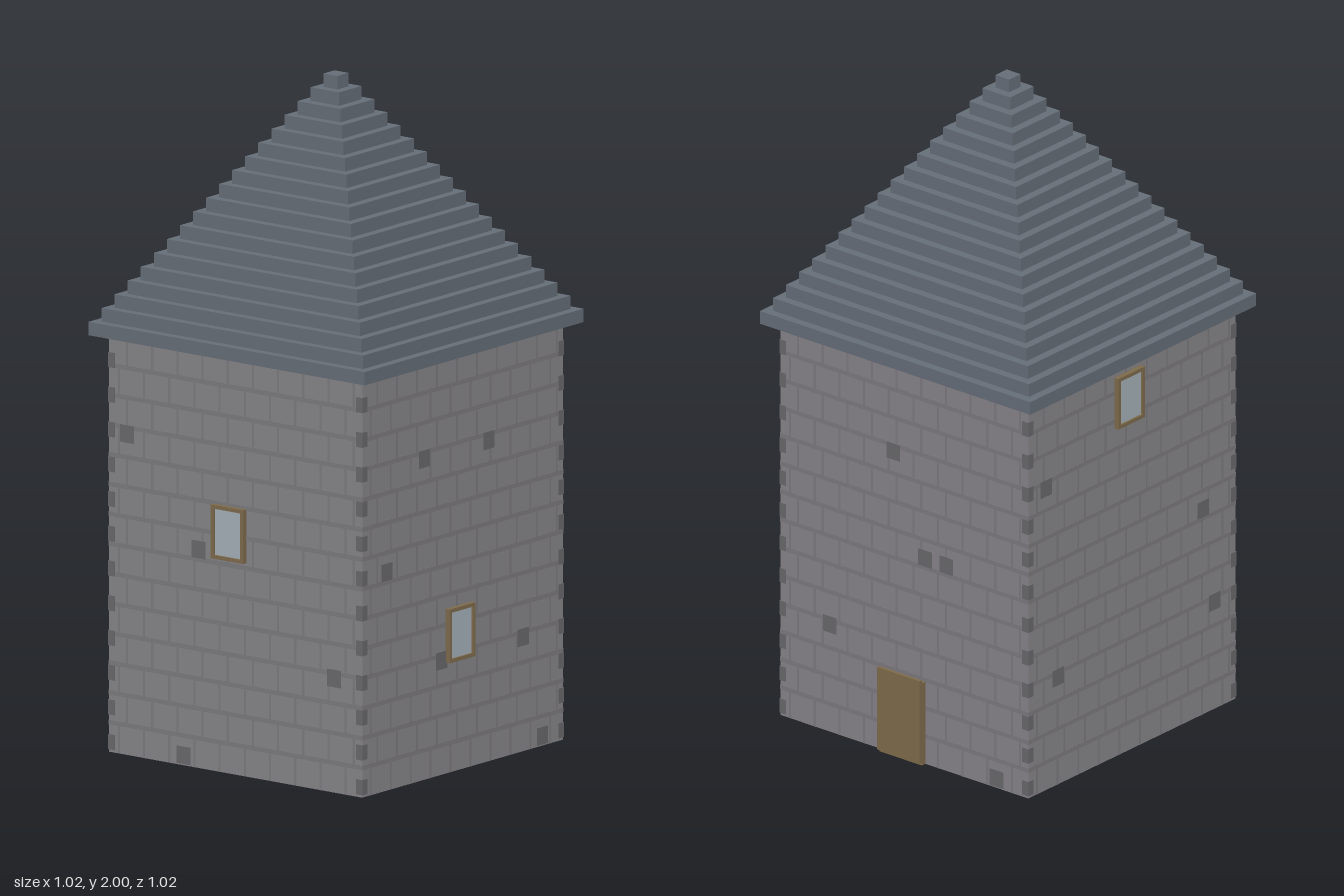
import * as THREE from 'three';
import { mergeGeometries } from 'three/addons/utils/BufferGeometryUtils.js';

const HALF = 0.468;      // half width of the tower
const WALL_TOP = 1.24;

const mat = color => new THREE.MeshStandardMaterial({ color });
const stoneMat = mat(0x858387);
const jointMat = mat(0x7b797d);
const darkStoneMat = mat(0x68676a);
const roofMat = mat(0x656d77);
const woodMat = mat(0x7d6a4b);
const glassMat = mat(0xa3afb6);

function box(w, h, d, x, y, z) {
  return new THREE.BoxGeometry(w, h, d).translate(x, y, z);
}

function add(parent, name, geometry, material) {
  const mesh = new THREE.Mesh(geometry, material);
  mesh.name = name;
  parent.add(mesh);
  return mesh;
}

// A framed window; u runs to the right as seen from outside, z is the wall face
function makeWindow(name, u, y) {
  const g = new THREE.Group();
  g.name = name;
  const w = 0.12, h = 0.16, t = 0.011, d = 0.016;
  add(g, 'windowFrame', mergeGeometries([
    ...[-1, 1].map(s => box(t, h, d, s * (w - t) / 2, 0, d / 2)),
    ...[-1, 1].map(s => box(w - 2 * t, t, d, 0, s * (h - t) / 2, d / 2)),
  ]), woodMat);
  add(g, 'windowPane', box(w - 2 * t, h - 2 * t, 0.01, 0, 0, 0.005), glassMat);
  g.position.set(u, y, HALF);
  return g;
}

// Masonry details of one wall: vertical joints and scattered dark stones
function makeWall(name, stones) {
  const g = new THREE.Group();
  g.name = name;
  const joints = [];
  const rows = 14, pitch = WALL_TOP / rows;
  for (let r = 0; r < rows; r++) {
    for (let c = 0; c < 10; c++) {
      const u = -0.43 + c * 0.093 + (r % 2) * 0.03;
      if (u > 0.45) continue;
      joints.push(new THREE.PlaneGeometry(0.008, pitch)
        .translate(u, (r + 0.5) * pitch, HALF + 0.001));
    }
  }
  add(g, 'wallJoints', mergeGeometries(joints), jointMat);
  add(g, 'darkStones', mergeGeometries(stones.map(([u, y]) =>
    new THREE.PlaneGeometry(0.052, 0.052).translate(u, y, HALF + 0.002))), darkStoneMat);
  return g;
}

export function createModel() {
  const model = new THREE.Group();
  model.name = 'tower';

  // Tower body with horizontal mortar courses
  add(model, 'towerBody', box(2 * HALF, WALL_TOP, 2 * HALF, 0, WALL_TOP / 2, 0), stoneMat);
  const courses = [];
  for (let i = 1; i < 14; i++) {
    courses.push(box(2 * HALF + 0.002, 0.014, 2 * HALF + 0.002, 0, i * WALL_TOP / 14, 0));
  }
  add(model, 'mortarCourses', mergeGeometries(courses), jointMat);

  // Darker corner stones on alternate courses
  const quoins = [];
  for (const sx of [-1, 1]) for (const sz of [-1, 1]) for (let i = 0; i < 12; i++) {
    quoins.push(box(0.024, 0.045, 0.024,
      sx * (HALF - 0.0105), 0.03 + i * 0.1033, sz * (HALF - 0.0105)));
  }
  add(model, 'cornerStones', mergeGeometries(quoins), darkStoneMat);

  // Four walls, turned about the vertical axis
  const walls = [
    ['frontWall', 0, [[-0.40, 0.955], [-0.135, 0.65], [0.365, 0.34], [-0.19, 0.03]], 0.715],
    ['leftWall', Math.PI / 2, [[-0.18, 0.955], [0.12, 0.955], [-0.355, 0.65],
      [-0.10, 0.34], [0.28, 0.34], [0.37, 0.03]], 0.41],
    ['backWall', Math.PI, [[-0.04, 0.955], [0.08, 0.65], [0.16, 0.65],
      [-0.28, 0.34], [0.35, 0.03]], null],
    ['rightWall', -Math.PI / 2, [[-0.39, 0.955], [0.32, 0.65], [0.37, 0.34],
      [-0.335, 0.34]], 1.12],
  ];
  for (const [name, angle, stones, windowY] of walls) {
    const wall = makeWall(name, stones);
    if (windowY !== null) wall.add(makeWindow('window', -0.02, windowY));
    wall.rotation.y = angle;
    model.add(wall);
  }

  // Back door: surround and leaf
  const door = new THREE.Group();
  door.name = 'door';
  add(door, 'doorSurround', box(0.16, 0.26, 0.016, 0, 0.13, -HALF - 0.008), woodMat);
  add(door, 'doorLeaf', box(0.16, 0.26, 0.011, 0, 0.14, -HALF - 0.0215), woodMat);
  model.add(door);

  // Stepped pyramid roof
  const roof = new THREE.Group();
  roof.name = 'roof';
  const steps = 19, stepHeight = (2 - WALL_TOP) / steps;
  for (let i = 0; i < steps; i++) {
    const w = 2 * (0.51 - i * 0.0269);
    add(roof, 'roofStep', box(w, stepHeight, w, 0, WALL_TOP + (i + 0.5) * stepHeight, 0), roofMat);
  }
  model.add(roof);

  return model;
}
